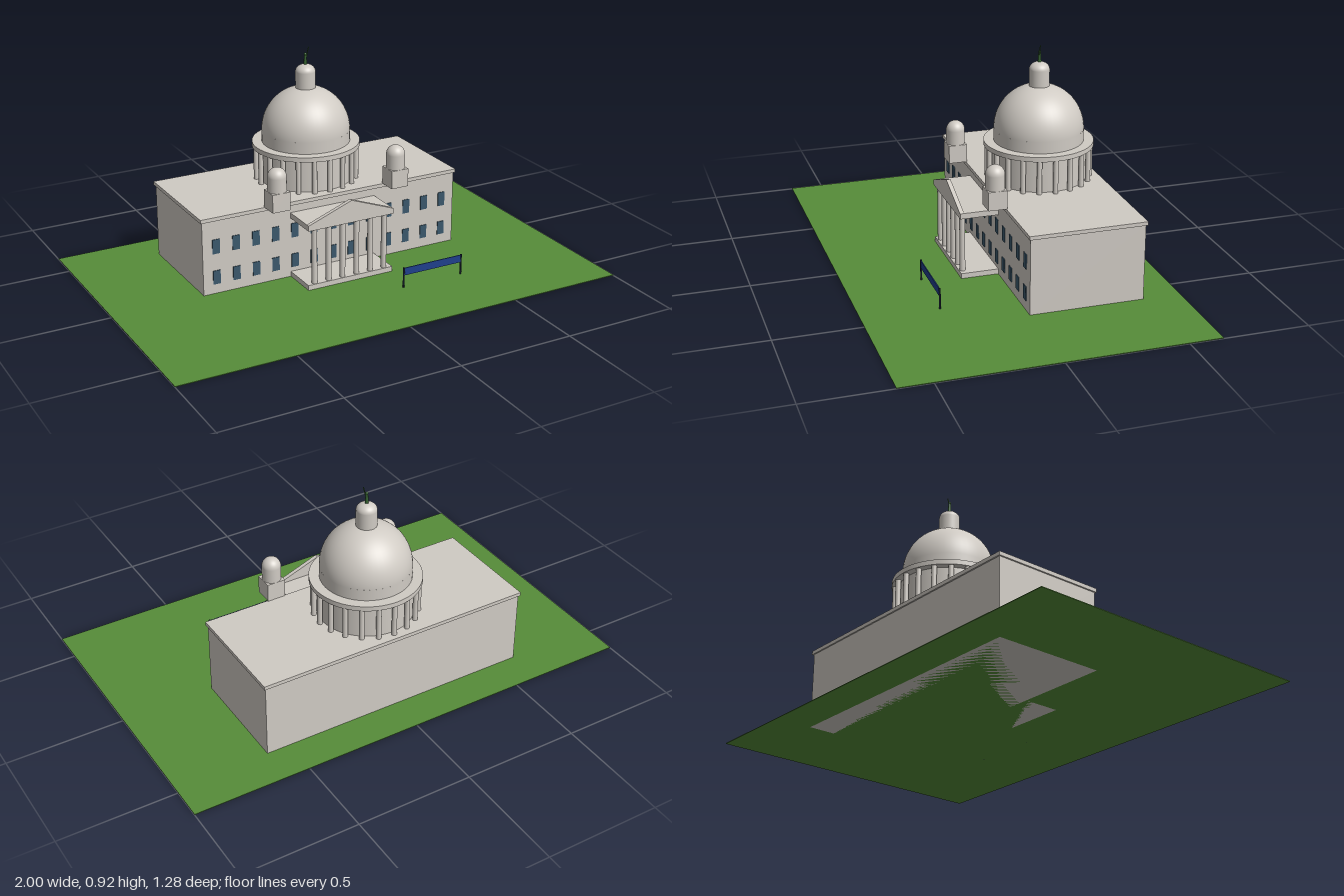
import * as THREE from 'three';

const mat = (name, color) => {
  const m = new THREE.MeshStandardMaterial({ color });
  m.name = name;
  return m;
};

export function createModel() {
  const root = new THREE.Group();
  root.name = 'domedCapitol';
  const stone = mat('stone', 0xd0cbc4);
  const grass = mat('grass', 0x568c39);
  const glass = mat('windowGlass', 0x3a586c);
  const blue = mat('signBlue', 0x1f3f8c);
  const dark = mat('signPost', 0x1c2638);
  const bronze = mat('greenBronze', 0x34602f);

  const add = (name, geo, material, x = 0, y = 0, z = 0, parent = root) => {
    const mesh = new THREE.Mesh(geo, material);
    mesh.name = name;
    mesh.position.set(x, y, z);
    parent.add(mesh);
    return mesh;
  };
  // Box and cylinder helpers placed by their bottom height
  const box = (name, w, y0, y1, z0, z1, material, x = 0, parent = root) =>
    add(name, new THREE.BoxGeometry(w, y1 - y0, z1 - z0), material, x, (y0 + y1) / 2, (z0 + z1) / 2, parent);
  const cyl = (name, r, y0, y1, x, z, material, parent = root, seg = 48) =>
    add(name, new THREE.CylinderGeometry(r, r, y1 - y0, seg), material, x, (y0 + y1) / 2, z, parent);
  const cap = (name, r, y, x, z, squash, parent = root) => {
    const m = add(name, new THREE.SphereGeometry(r, 48, 20, 0, Math.PI * 2, 0, Math.PI / 2), stone, x, y, z, parent);
    m.scale.y = squash;
    return m;
  };

  box('lawn', 2, 0, 0.003, -0.64, 0.64, grass);

  // Main block with a slim cornice
  box('mainBlock', 1.2, 0, 0.325, -0.48, 0, stone);
  box('cornice', 1.214, 0.325, 0.341, -0.486, 0.006, stone);

  // Two rows of front windows
  const windows = new THREE.Group();
  windows.name = 'windows';
  root.add(windows);
  for (let i = -6; i <= 6; i++) {
    box('lowerWindow', 0.033, 0.045, 0.105, -0.002, 0.003, glass, i * 0.09, windows);
    box('upperWindow', 0.033, 0.18, 0.243, -0.002, 0.003, glass, i * 0.09, windows);
  }

  // Portico: platform, columns, flat roof and pediment
  const portico = new THREE.Group();
  portico.name = 'portico';
  root.add(portico);
  box('porticoBase', 0.4, 0, 0.025, 0, 0.16, stone, 0, portico);
  for (let i = 0; i < 6; i++)
    cyl('porticoColumn', 0.012, 0.025, 0.268, -0.165 + i * 0.066, 0.145, stone, portico, 20);
  box('porticoRoof', 0.4, 0.268, 0.292, 0, 0.163, stone, 0, portico);
  const gable = new THREE.Shape([
    new THREE.Vector2(-0.2, 0.292), new THREE.Vector2(0.2, 0.292), new THREE.Vector2(0, 0.367),
  ]);
  add('pediment', new THREE.ExtrudeGeometry(gable, { depth: 0.018, bevelEnabled: false }), stone, 0, 0, 0.146, portico);

  // Pair of domed turrets
  for (const side of [-1, 1]) {
    const turret = new THREE.Group();
    turret.name = side > 0 ? 'leftTurret' : 'rightTurret';
    root.add(turret);
    box('turretBase', 0.08, 0.341, 0.42, 0.001, 0.081, stone, side * 0.28, turret);
    cyl('turretDrum', 0.04, 0.42, 0.481, side * 0.28, 0.041, stone, turret, 32);
    cap('turretDome', 0.04, 0.481, side * 0.28, 0.041, 1, turret);
  }

  // Central colonnaded drum, dome and lantern
  const cz = -0.24;
  const rotunda = new THREE.Group();
  rotunda.name = 'rotunda';
  root.add(rotunda);
  cyl('drumWall', 0.2, 0.34, 0.486, 0, cz, stone, rotunda, 64);
  for (let i = 0; i < 20; i++) {
    const a = (i / 20) * Math.PI * 2;
    cyl('drumColumn', 0.011, 0.34, 0.486, 0.216 * Math.cos(a), cz + 0.216 * Math.sin(a), stone, rotunda, 16);
  }
  cyl('drumRing', 0.231, 0.485, 0.506, 0, cz, stone, rotunda, 64);
  cyl('domeBase', 0.189, 0.506, 0.556, 0, cz, stone, rotunda, 64);
  cap('dome', 0.189, 0.556, 0, cz, 1, rotunda);
  cyl('lantern', 0.043, 0.73, 0.81, 0, cz, stone, rotunda, 32);
  cap('lanternDome', 0.043, 0.81, 0, cz, 0.75, rotunda);

  // Small figure with a raised staff
  const statue = new THREE.Group();
  statue.name = 'statue';
  root.add(statue);
  add('statueBody', new THREE.CylinderGeometry(0.005, 0.008, 0.042, 12), bronze, 0, 0.86, cz, statue);
  add('statueHead', new THREE.SphereGeometry(0.006, 12, 8), bronze, 0, 0.885, cz, statue);
  const arm = add('statueArm', new THREE.CylinderGeometry(0.0022, 0.0022, 0.045, 8), bronze, 0.009, 0.893, cz + 0.002, statue);
  arm.rotation.z = -0.25;

  // Blue sign board on two posts
  const sign = new THREE.Group();
  sign.name = 'sign';
  root.add(sign);
  box('signBoard', 0.28, 0.057, 0.09, 0.318, 0.322, blue, 0.3, sign);
  for (const x of [0.16, 0.44]) cyl('signPost', 0.004, 0, 0.092, x, 0.32, dark, sign, 10);

  return root;
}
